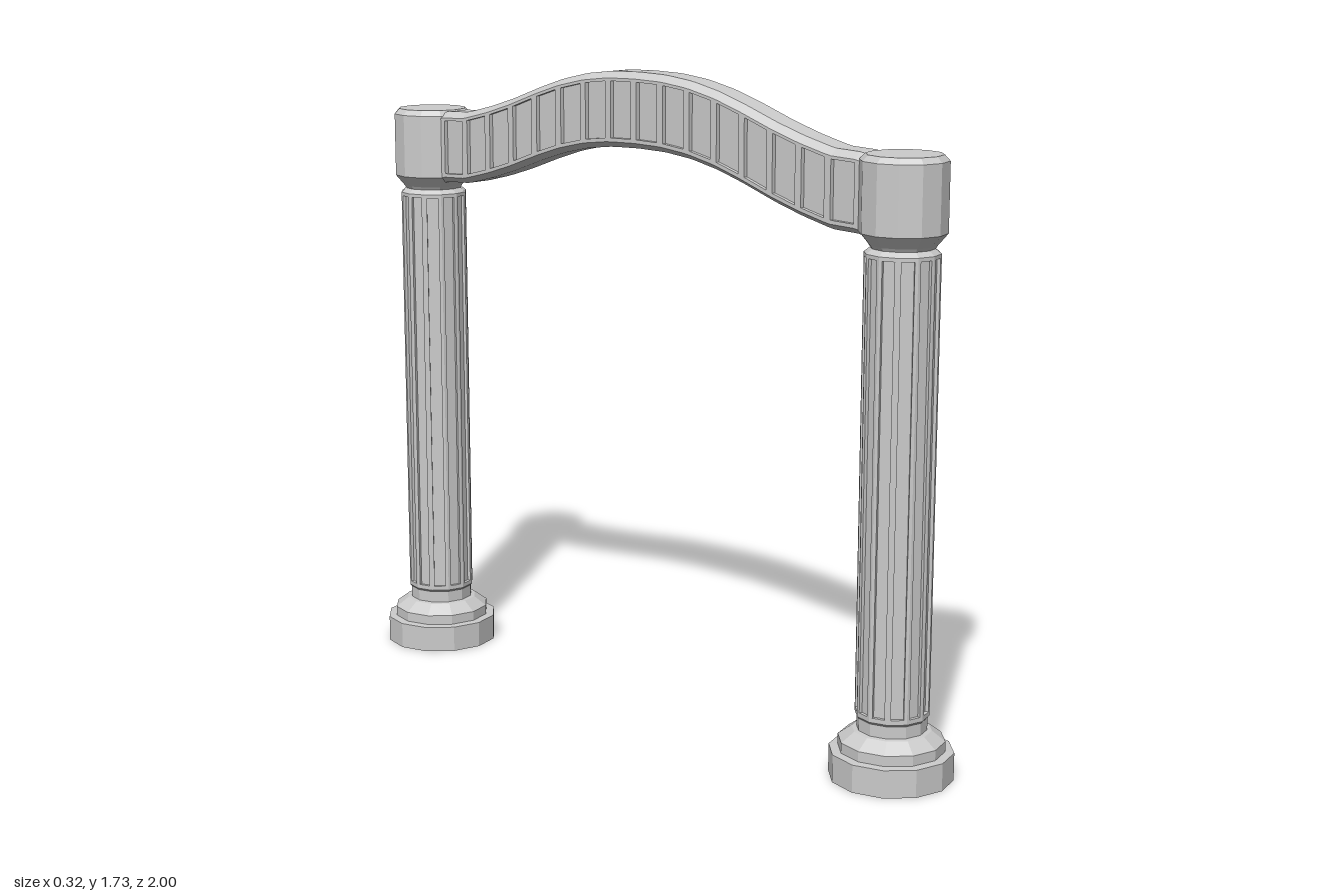
import * as THREE from 'three';

const SIDES = 12;
const material = new THREE.MeshStandardMaterial({ color: 0xcccccc, flatShading: true });

function addMesh(parent, name, geometry) {
  const mesh = new THREE.Mesh(geometry, material);
  mesh.name = name;
  parent.add(mesh);
  return mesh;
}

function turned(profile) {
  return new THREE.LatheGeometry(profile.map(([r, y]) => new THREE.Vector2(r, y)), SIDES);
}

// Twelve-sided shaft with one recessed groove in each facet
function flutedShaft(radius, bottom, top) {
  const depth = 0.009, margin = 0.17;
  const points = [];
  for (let i = 0; i < SIDES; i++) {
    const a0 = (i / SIDES) * Math.PI * 2, a1 = ((i + 1) / SIDES) * Math.PI * 2;
    const p = new THREE.Vector2(Math.cos(a0), Math.sin(a0)).multiplyScalar(radius);
    const q = new THREE.Vector2(Math.cos(a1), Math.sin(a1)).multiplyScalar(radius);
    const mid = (a0 + a1) / 2;
    const inward = new THREE.Vector2(-Math.cos(mid), -Math.sin(mid)).multiplyScalar(depth);
    const s = p.clone().lerp(q, margin), e = p.clone().lerp(q, 1 - margin);
    points.push(p, s, s.clone().add(inward), e.clone().add(inward), e);
  }
  const geometry = new THREE.ExtrudeGeometry(new THREE.Shape(points), {
    depth: top - bottom, bevelEnabled: false,
  });
  return geometry.rotateX(-Math.PI / 2).translate(0, bottom, 0);
}

function createColumn(name, z) {
  const column = new THREE.Group();
  column.name = name;
  const R = 0.095, low = 0.18, high = 1.335;
  addMesh(column, 'base', turned([
    [0, 0], [0.16, 0], [0.16, 0.073], [0.137, 0.075], [0.137, 0.102],
    [0.102, 0.128], [0.09, 0.13], [0.09, 0.162], [R, 0.168], [R, low], [0, low],
  ]));
  addMesh(column, 'flutedShaft', flutedShaft(R, low, high));
  addMesh(column, 'capital', turned([
    [0, high], [R, high], [R, 1.345], [0.08, 1.357], [0.085, 1.365],
    [0.11, 1.395], [0.11, 1.57], [0.096, 1.585], [0, 1.585],
  ]));
  column.position.z = z;
  return column;
}

// Cross-section of the beam; inset pushes the side panels inward
function beamSection(inset) {
  const half = [
    [0.033, 0.1], [0.055, 0.083], [0.055, 0.075], [0.055 - inset, 0.075],
    [0.055 - inset, -0.075], [0.055, -0.075], [0.055, -0.085], [0.035, -0.1],
  ];
  return [...half, ...half.map(([x, y]) => [-x, y]).reverse()];
}

// Arched beam lofted through sections, with a row of recessed panels on both sides
function archedBeam() {
  const drop = new THREE.SplineCurve([
    [-0.78, -0.16], [-0.72, -0.15], [-0.65, -0.147], [-0.5, -0.108], [-0.3, -0.04], [-0.15, -0.008],
    [0, 0],
    [0.15, -0.008], [0.3, -0.04], [0.5, -0.108], [0.65, -0.147], [0.72, -0.15], [0.78, -0.16],
  ].map(([z, y]) => new THREE.Vector2(z, y))).getPoints(240);
  const heightAt = (z) => {
    const i = Math.max(1, drop.findIndex((p) => p.x >= z));
    const a = drop[i - 1], b = drop[i];
    return 1.635 + THREE.MathUtils.mapLinear(z, a.x, b.x, a.y, b.y);
  };

  // Stations along the beam: each panel opens and closes with a doubled section
  const panels = 16, pitch = 0.0925, gap = 0.01, inset = 0.012;
  const stations = [[-0.775, 0]];
  for (let i = 0; i < panels; i++) {
    const start = (i - panels / 2) * pitch + gap, end = start + pitch - 2 * gap;
    stations.push([start, 0], [start, inset], [end, inset], [end, 0]);
  }
  stations.push([0.775, 0]);

  const positions = [], index = [];
  const n = beamSection(0).length;
  stations.forEach(([z, depth], i) => {
    const y0 = heightAt(z);
    beamSection(depth).forEach(([x, y], j) => {
      positions.push(x, y0 + y, z);
      if (i === stations.length - 1) return;
      const a = i * n + j, b = i * n + ((j + 1) % n), c = b + n, d = a + n;
      index.push(a, d, c, a, c, b);
    });
  });
  const geometry = new THREE.BufferGeometry();
  geometry.setAttribute('position', new THREE.Float32BufferAttribute(positions, 3));
  geometry.setIndex(index);
  geometry.computeVertexNormals();
  return geometry;
}

export function createModel() {
  const model = new THREE.Group();
  model.name = 'archway';
  model.add(createColumn('frontColumn', 0.84), createColumn('backColumn', -0.84));
  addMesh(model, 'archedBeam', archedBeam());
  return model;
}
